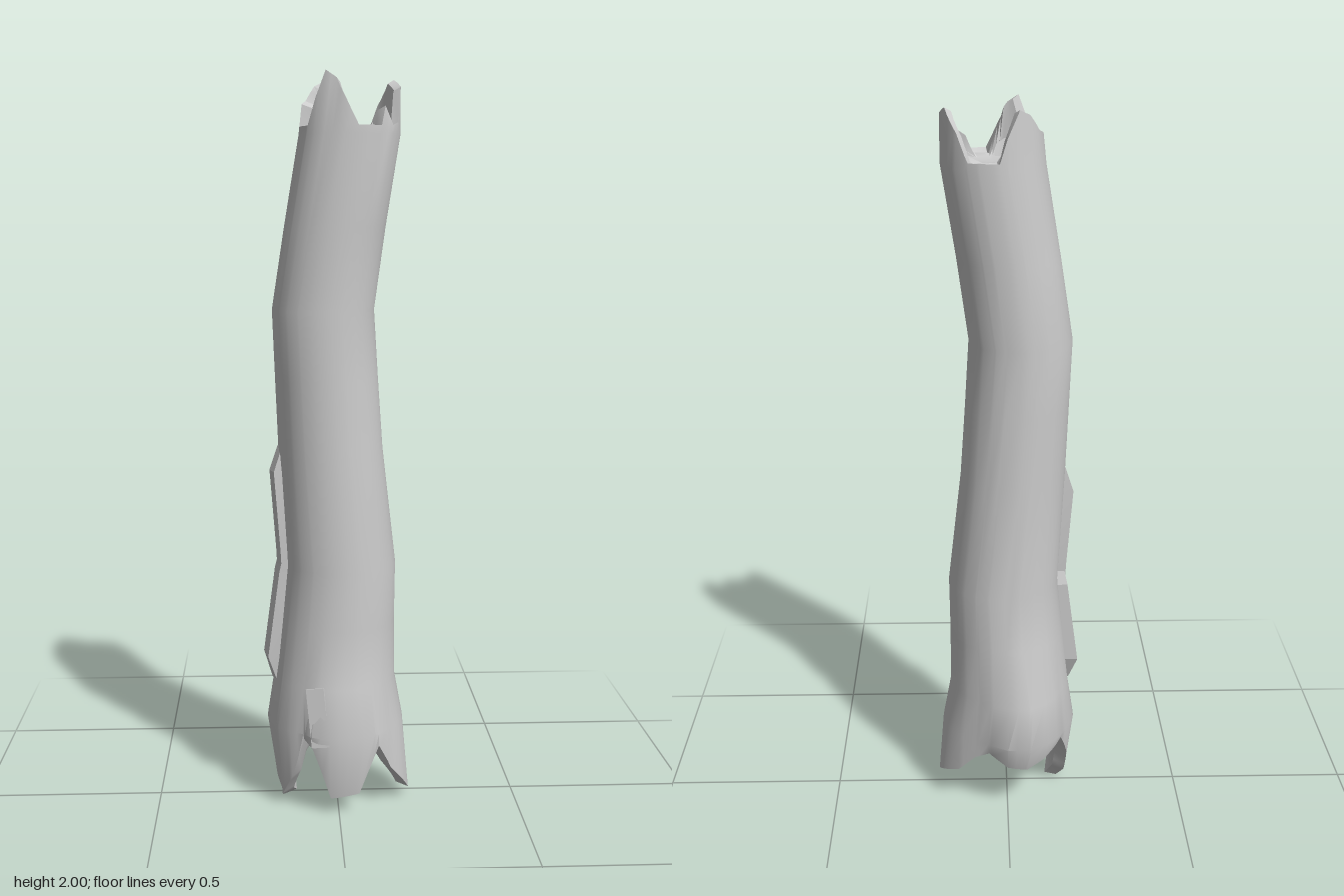
import * as THREE from 'three';
import { toCreasedNormals } from 'three/addons/utils/BufferGeometryUtils.js';

// jagged top rim: angle, height, wall thickness, inward lean
const TOP = [
  [0, 1.965, .02, 0], [15, 1.96, .02, 0], [22, 1.87, .03, 0], [35, 1.86, .03, 0], [45, 1.91, .05, .01],
  [55, 1.86, .04, 0], [83, 1.86, .06, 0], [98, 1.93, .06, .01], [112, 1.98, .05, .03], [128, 2, .04, .025],
  [139, 1.93, .055, .01], [148, 1.86, .06, 0], [185, 1.86, .05, 0], [190, 1.92, .05, .005], [206, 1.93, .05, .005],
  [222, 1.97, .045, .01], [238, 1.985, .04, .01], [254, 1.92, .05, .005], [263, 1.86, .05, 0],
  [298, 1.86, .02, 0], [315, 1.93, .02, .005], [338, 1.985, .02, .005],
];
// torn base rim: angle, height, shoulder radius, tip radius
const BASE = [
  [0, .05, .185, .2], [12, .03, .185, .205], [25, .07, .185, .2], [40, .12, .185, .19], [56, .2, .195, .195],
  [70, .06, .2, .165], [98, .05, .205, .165], [112, .2, .2, .195], [122, .22, .185, .18], [135, .1, .19, .18],
  [152, .03, .195, .175], [172, .005, .195, .15], [186, .05, .195, .17], [200, .14, .19, .185], [216, .22, .195, .19],
  [236, .18, .205, .19], [252, .15, .21, .18], [270, .16, .205, .175], [288, .2, .18, .17], [302, .18, .175, .175],
  [320, .12, .18, .185], [340, .09, .185, .2],
];
// trunk sections: height, centre x, radius
const TRUNK = [
  [.36, -.007, .169], [.52, .001, .16], [.68, .01, .153], [1, -.017, .143],
  [1.2, -.028, .14], [1.38, -.037, .138], [1.6, -.005, .136], [1.84, .034, .135],
];
const TIP_X = .035;

// angles holding every corner of both rims, filled in so the sides stay round
const ANGLES = [...new Set([...TOP, ...BASE].map(k => k[0]).concat(
  Array.from({ length: 24 }, (_, i) => i * 15)))].sort((a, b) => a - b);

// linear lookup around a closed table of keys
function sample(table, deg) {
  for (let i = 0; i < table.length; i++) {
    const a = table[i], b = table[(i + 1) % table.length];
    const end = b[0] <= a[0] ? b[0] + 360 : b[0];
    if (deg >= a[0] && deg <= end) {
      const t = (deg - a[0]) / (end - a[0]);
      return a.map((v, k) => v + (b[k] - v) * t);
    }
  }
  return table[0];
}

// one ring of points; rule(deg) returns [height, radius]
function ring(cx, rule) {
  return ANGLES.map(deg => {
    const [y, r] = rule(deg), a = deg * Math.PI / 180;
    return [cx + r * Math.cos(a), y, r * Math.sin(a)];
  });
}

// skin a stack of rings
function loft(name, rings, crease) {
  const n = ANGLES.length, index = [];
  for (let k = 0; k < rings.length - 1; k++) {
    for (let i = 0; i < n; i++) {
      const a = k * n + i, b = k * n + (i + 1) % n;
      index.push(a, a + n, b, b, a + n, b + n);
    }
  }
  const g = new THREE.BufferGeometry();
  g.setAttribute('position', new THREE.Float32BufferAttribute(rings.flat(2), 3));
  g.setIndex(index);
  return mesh(name, toCreasedNormals(g, crease));
}

function mesh(name, geometry) {
  const m = new THREE.Mesh(geometry, new THREE.MeshStandardMaterial({ color: 0xcccccc }));
  m.name = name;
  return m;
}

// slab of bark lying along the trunk; sections: y, outer x, inner x, back z, front z
function barkSlab(name, sections) {
  const g = new THREE.BoxGeometry(1, 1, 1, 1, sections.length - 1, 1);
  const p = g.attributes.position;
  for (let i = 0; i < p.count; i++) {
    const s = sections[Math.round((p.getY(i) + .5) * (sections.length - 1))];
    const outer = p.getX(i) < 0, front = p.getZ(i) > 0;
    p.setXYZ(i, (outer ? s[1] : s[2]) + (front && outer ? .012 : 0), s[0], front ? s[4] : s[3]);
  }
  return mesh(name, toCreasedNormals(g, .3));
}

export function createModel() {
  const model = new THREE.Group();

  // outer bark, from torn base rim to jagged top rim, with a root swelling at the back
  const baseRim = ring(0, d => { const s = sample(BASE, d); return [s[1], s[3]]; });
  const topRim = ring(TIP_X, d => { const s = sample(TOP, d); return [s[1], .134 - s[3]]; });
  const swell = (d, y) => (y < .4 ? .034 * Math.max(0, 1 - Math.abs(d - 255) / 45) : 0);
  model.add(loft('trunk', [
    baseRim,
    ring(0, d => [.235, sample(BASE, d)[2]]),
    ...TRUNK.map(([y, cx, r]) => ring(cx, d => [y, r + swell(d, y)])),
    topRim,
  ], .6));

  // broken top: rim thickness, inner walls and a shallow hollow
  model.add(loft('brokenTop', [
    topRim,
    ring(TIP_X, d => { const s = sample(TOP, d); return [s[1] - .01, .122 - s[3] - s[2] * .3]; }),
    ring(TIP_X, d => { const s = sample(TOP, d); return [1.855 + (s[1] - 1.86) * .3, .128 - s[2]]; }),
    ring(TIP_X, () => [1.85, .055]),
    ring(TIP_X, () => [1.845, 0]),
  ], .45));

  // torn base: inner faces of the splinters and a recessed core
  model.add(loft('tornBase', [
    ring(0, () => [.2, 0]),
    ring(0, () => [.2, .08]),
    ring(0, d => { const s = sample(BASE, d); return [.2 + (s[1] - .2) * .4, .125]; }),
    ring(0, d => { const s = sample(BASE, d); return [s[1] + .012, s[3] - .035]; }),
    baseRim,
  ], .45));

  // raised bark strips on the right side
  model.add(barkSlab('upperBark', [
    [.66, -.165, -.12, 0, .045], [.72, -.168, -.12, -.002, .045],
    [.94, -.185, -.13, 0, .04], [1.01, -.162, -.13, .005, .03],
  ]));
  model.add(barkSlab('lowerBark', [
    [.35, -.18, -.14, .01, .045], [.42, -.204, -.14, -.015, .05],
    [.66, -.172, -.12, -.015, .045], [.7, -.163, -.12, 0, .045],
  ]));

  // thin raised flake at the front of the base
  const flake = mesh('frontFlake', new THREE.BoxGeometry(.05, .16, .03));
  flake.position.set(-.055, .285, .165);
  flake.rotation.set(-.15, -.3, .1);
  model.add(flake);

  return model;
}
